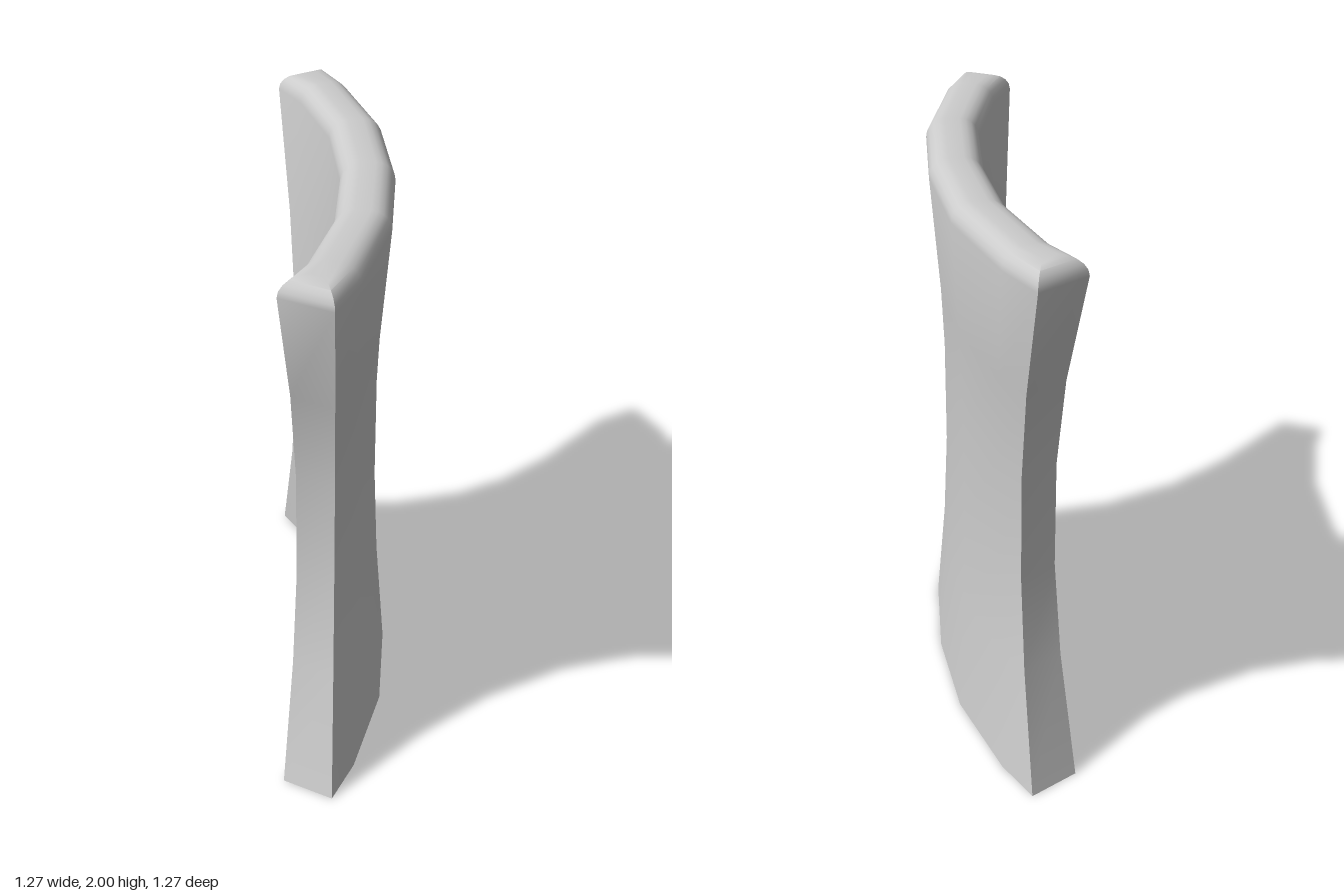
import * as THREE from 'three';
import { toCreasedNormals } from 'three/addons/utils/BufferGeometryUtils.js';

// Half of the plan curve, [along chord, outward], from the middle to one end
const OUTER = [[0, 0.255], [0.354, 0.226], [0.7, 0.12], [0.859, 0.039]];
const INNER = [[0, 0.074], [0.335, 0.046], [0.639, -0.049], [0.771, -0.127]];
const CENTRE = 0.074; // the plan shrinks toward this point at the waist
const BEVEL = 0.065;

// Mirror a half curve so it runs from one end to the other
const mirror = (half) => [...half.slice(1).reverse().map(([u, v]) => [-u, v]), ...half]
  .map(([u, v]) => new THREE.Vector2(u, v));

// Closed plan outline: outer side forward, inner side back, pulled in by `inset`
function outline(scale, inset) {
  const outer = mirror(OUTER), inner = mirror(INNER), n = outer.length;
  for (let i = 0; i < n; i++) {
    const across = inner[i].clone().sub(outer[i]).setLength(inset);
    outer[i].add(across);
    inner[i].sub(across);
  }
  for (const side of [outer, inner]) {
    for (const [end, next] of [[0, 1], [n - 1, n - 2]]) {
      side[end].add(side[next].clone().sub(side[end]).setLength(inset));
    }
  }
  return [...outer, ...inner.reverse()].map((p) => [p.x * scale, CENTRE + (p.y - CENTRE) * scale]);
}

function panelGeometry() {
  // [height, scale, inset]: waisted wall, then a rounded upper rim
  const levels = [[0, 1, 0], [0.43, 0.822, 0], [0.77, 0.747, 0], [1.17, 0.747, 0], [1.51, 0.822, 0]];
  for (let k = 0; k <= 5; k++) {
    const a = (k / 5) * Math.PI / 2;
    levels.push([2 - BEVEL * (1 - Math.sin(a)), 1, BEVEL * (1 - Math.cos(a))]);
  }

  const positions = [], index = [];
  for (const [y, scale, inset] of levels) {
    for (const [u, v] of outline(scale, inset)) {
      positions.push((u + v) * Math.SQRT1_2, y, (u - v) * Math.SQRT1_2);
    }
  }

  // Walls
  const n = 14;
  for (let j = 0; j < levels.length - 1; j++) {
    for (let k = 0; k < n; k++) {
      const a = j * n + k, b = j * n + (k + 1) % n;
      index.push(a, a + n, b, b, a + n, b + n);
    }
  }
  // Bottom and top caps, strips between the two long sides
  const top = (levels.length - 1) * n;
  for (let i = 0; i < n / 2 - 1; i++) {
    const o = i, o2 = i + 1, p = n - 1 - i, p2 = n - 2 - i;
    index.push(o, o2, p, o2, p2, p);
    index.push(top + o, top + p, top + o2, top + o2, top + p, top + p2);
  }

  const geometry = new THREE.BufferGeometry();
  geometry.setAttribute('position', new THREE.Float32BufferAttribute(positions, 3));
  geometry.setIndex(index);
  return toCreasedNormals(geometry, 0.7);
}

export function createModel() {
  const group = new THREE.Group();
  const panel = new THREE.Mesh(panelGeometry(), new THREE.MeshStandardMaterial({ color: 0xcccccc }));
  panel.name = 'curvedBackrest';
  group.add(panel);
  return group;
}
